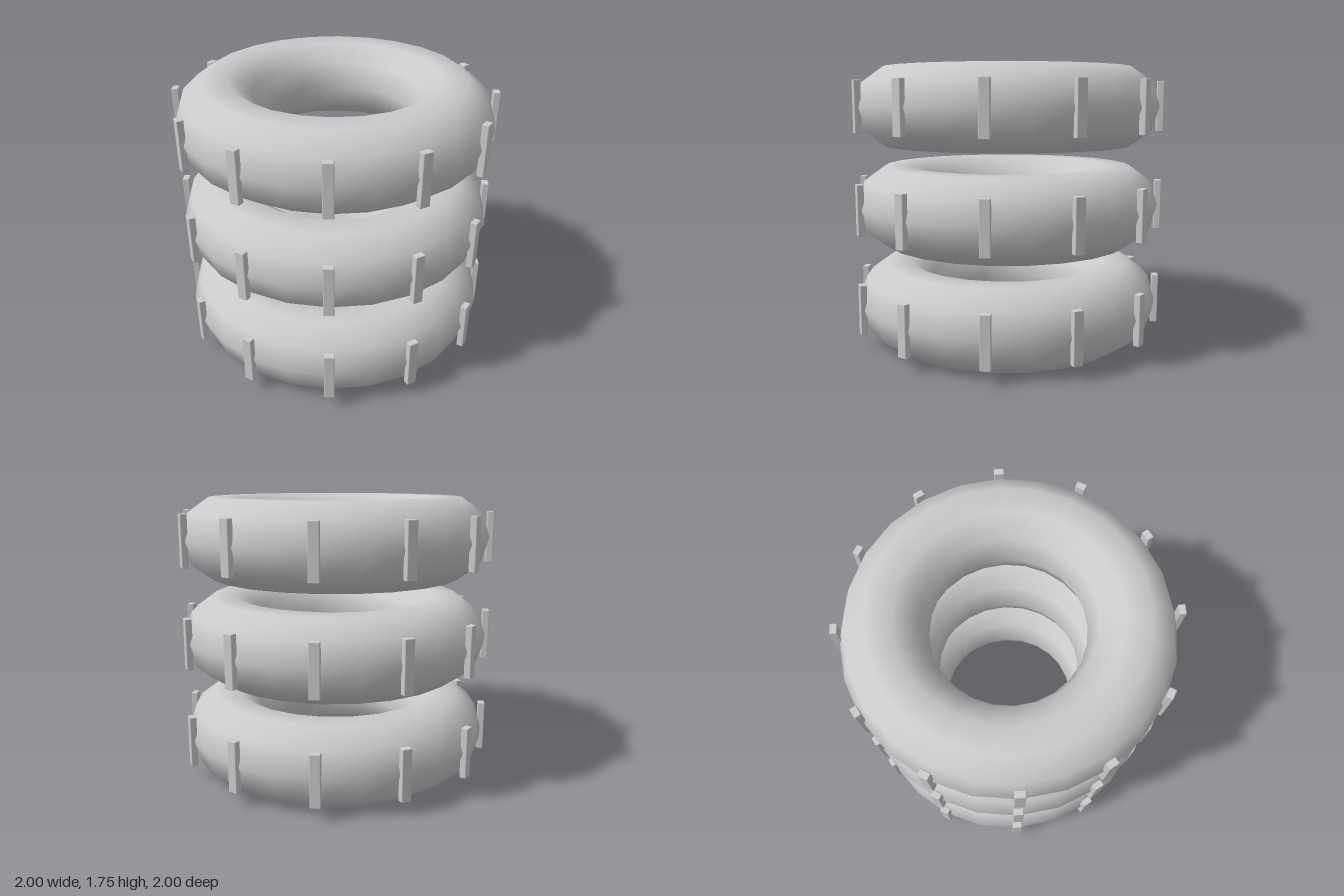
import * as THREE from 'three';
import { RoundedBoxGeometry } from 'three/addons/geometries/RoundedBoxGeometry.js';

const RING_RADIUS = 0.72;
const TUBE_RADIUS = 0.26;
const SPACING = 0.627;
const TREADS = 12;
// a ten-sided tube has its lowest vertices at 72 degrees
const HALF_HEIGHT = TUBE_RADIUS * Math.sin(Math.PI * 0.4);

export function createModel() {
  const model = new THREE.Group();
  model.name = 'tireStack';
  const material = new THREE.MeshStandardMaterial({ color: 0xcccccc });

  // shared shapes: the ring lies flat, the tread block faces +x
  const ringGeometry = new THREE.TorusGeometry(RING_RADIUS, TUBE_RADIUS, 10, 24);
  ringGeometry.rotateX(-Math.PI / 2);
  const treadGeometry = new RoundedBoxGeometry(0.042, 0.32, 0.062, 1, 0.005);
  treadGeometry.translate(0.979, 0, 0);

  for (let level = 0; level < 3; level++) {
    const tire = new THREE.Group();
    tire.name = 'tire' + (level + 1);
    tire.position.y = HALF_HEIGHT + level * SPACING;

    const ring = new THREE.Mesh(ringGeometry, material);
    ring.name = 'ring';
    tire.add(ring);

    // tread blocks around the outer rim
    for (let i = 0; i < TREADS; i++) {
      const tread = new THREE.Mesh(treadGeometry, material);
      tread.name = 'treadBlock' + (i + 1);
      tread.rotation.y = (i / TREADS) * Math.PI * 2;
      tire.add(tread);
    }
    model.add(tire);
  }
  return model;
}
